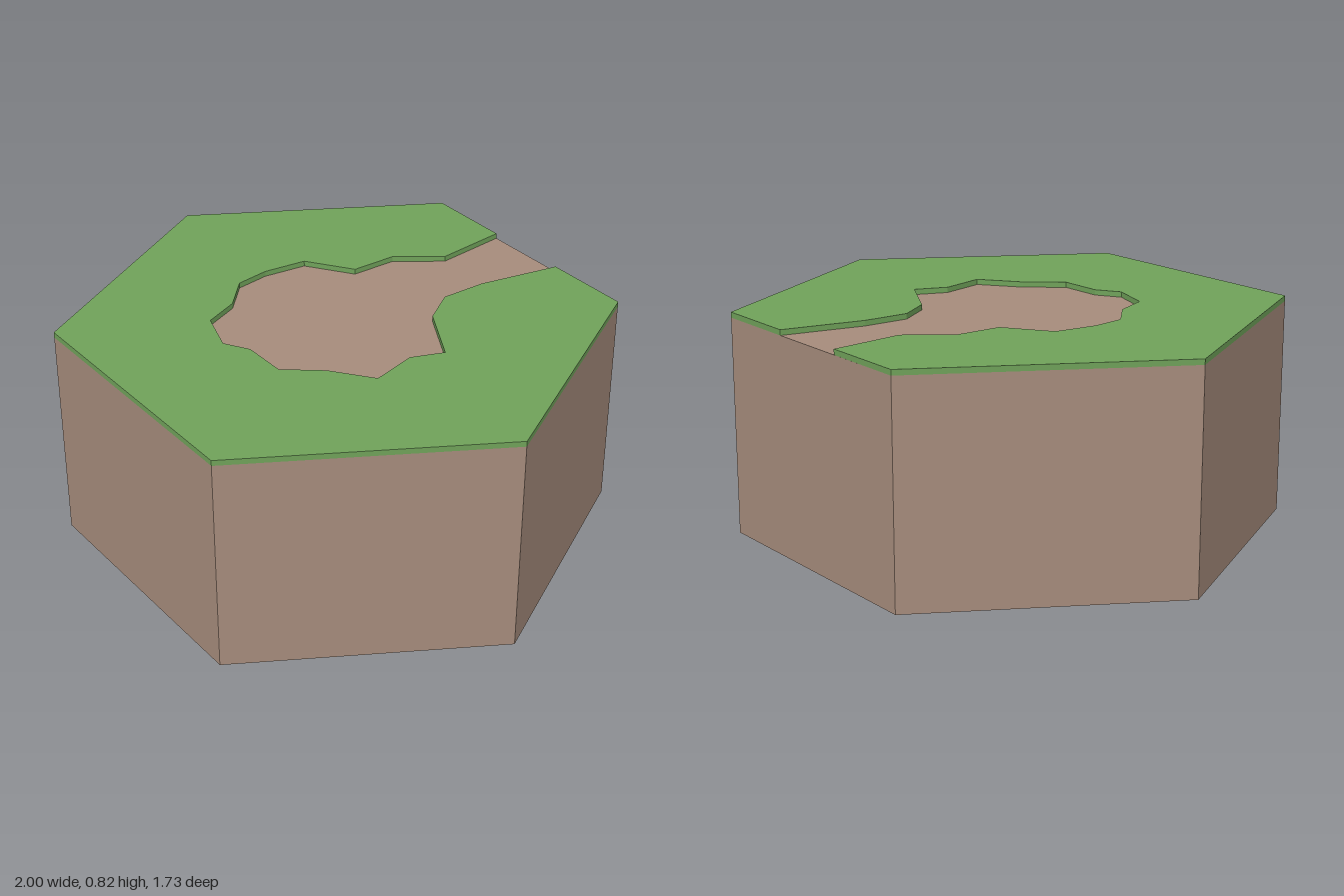
import * as THREE from 'three';

const BASE_HEIGHT = 0.8;
const GRASS_HEIGHT = 0.02;

function material(color) {
  return new THREE.MeshStandardMaterial({ color, flatShading: true });
}

export function createModel() {
  const tile = new THREE.Group();
  tile.name = 'hexTile';

  // Six-sided earth block with corners on the x axis
  const earthGeometry = new THREE.CylinderGeometry(1, 1, BASE_HEIGHT, 6, 1, false, Math.PI / 6);
  earthGeometry.translate(0, BASE_HEIGHT / 2, 0);
  const earth = new THREE.Mesh(earthGeometry, material(0xa68c7c));
  earth.name = 'earthBase';
  tile.add(earth);

  // Hexagon outline, running from one side of the path's mouth round to the other (x, z)
  const h = Math.sqrt(3) / 2;
  const rim = [
    [0.665, -0.58], [0.5, -h], [-0.5, -h], [-1, 0], [-0.5, h], [0.5, h], [1, 0], [0.833, -0.29],
  ];
  // Ragged edge of the bare clearing, back to the first side of the mouth (x, z)
  const clearing = [
    [0.54, -0.19], [0.39, -0.105], [0.325, 0.03], [0.33, 0.285], [0.205, 0.305],
    [0.08, 0.43], [-0.085, 0.36], [-0.245, 0.335], [-0.33, 0.19], [-0.42, 0.14],
    [-0.455, -0.025], [-0.37, -0.14], [-0.335, -0.29], [-0.235, -0.37], [-0.085, -0.435],
    [0.095, -0.35], [0.245, -0.435], [0.44, -0.415],
  ];

  // Thin grass layer around the clearing and its path
  const outline = new THREE.Shape([...rim, ...clearing].map(([x, z]) => new THREE.Vector2(x, -z)));
  const grassGeometry = new THREE.ExtrudeGeometry(outline, { depth: GRASS_HEIGHT, bevelEnabled: false });
  grassGeometry.rotateX(-Math.PI / 2);
  grassGeometry.translate(0, BASE_HEIGHT, 0);
  const grass = new THREE.Mesh(grassGeometry, material(0x70a25a));
  grass.name = 'grassLayer';
  tile.add(grass);

  return tile;
}
